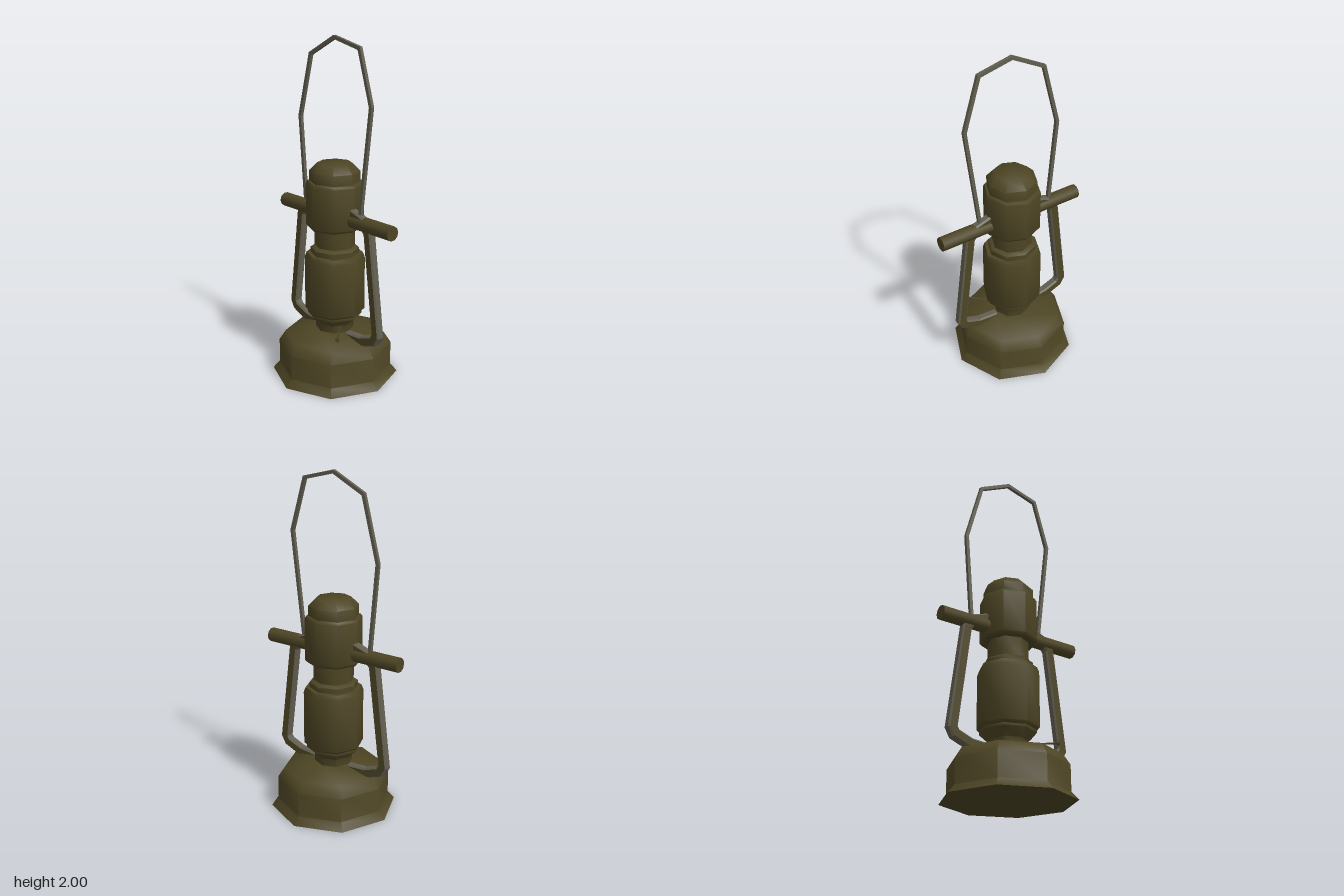
import * as THREE from 'three';
import { toCreasedNormals } from 'three/addons/utils/BufferGeometryUtils.js';

const AXIS = -0.01; // x of the lantern's centre line

export function createModel() {
  const model = new THREE.Group();
  const olive = new THREE.MeshStandardMaterial({ name: 'olive paint', color: 0x4d4524 });
  const steel = new THREE.MeshStandardMaterial({ name: 'bare steel', color: 0x625e50 });

  function add(name, geometry, material) {
    const mesh = new THREE.Mesh(geometry, material);
    mesh.name = name;
    model.add(mesh);
    return mesh;
  }

  // Eight-sided turned part from [radius, y] pairs, bottom to top
  function turned(name, profile) {
    const geo = new THREE.LatheGeometry(profile.map(([r, y]) => new THREE.Vector2(r, y)), 8);
    add(name, toCreasedNormals(geo, 0.88), olive).position.x = AXIS;
  }

  // Flat bar of constant width following a mitred polyline, centred on z = 0
  function strip(path, half, depth, bevel) {
    const pts = path.map(([x, y]) => new THREE.Vector2(x, y));
    const normal = (a, b) => new THREE.Vector2(a.y - b.y, b.x - a.x).normalize();
    const left = [], right = [];
    pts.forEach((p, i) => {
      const before = normal(pts[Math.max(i - 1, 0)], pts[Math.max(i, 1)]);
      const after = normal(pts[Math.min(i, pts.length - 2)], pts[Math.min(i + 1, pts.length - 1)]);
      const m = before.clone().add(after).normalize();
      m.multiplyScalar(half / m.dot(before));
      left.push(p.clone().add(m));
      right.unshift(p.clone().sub(m));
    });
    const geo = new THREE.ExtrudeGeometry(new THREE.Shape([...left, ...right]), {
      depth: depth - 2 * bevel, bevelEnabled: bevel > 0, bevelSegments: 1,
      bevelSize: bevel, bevelThickness: bevel, bevelOffset: -bevel,
    });
    return geo.translate(0, 0, bevel - depth / 2);
  }

  // Fuel tank with flared foot
  turned('fuelTank', [[0, 0], [0.375, 0], [0.335, 0.045], [0.335, 0.19], [0.295, 0.25], [0.12, 0.285], [0, 0.285]]);
  // Burner neck and its flared cup
  turned('burner', [[0, 0.27], [0.112, 0.27], [0.112, 0.33], [0.16, 0.375], [0.16, 0.39], [0, 0.39]]);
  // Globe
  turned('globe', [[0, 0.38], [0.15, 0.38], [0.176, 0.405], [0.176, 0.725], [0.165, 0.755], [0, 0.755]]);
  // Collar over the globe
  turned('collar', [[0, 0.75], [0.142, 0.75], [0.142, 0.785], [0.12, 0.8], [0, 0.8]]);
  // Chimney neck
  turned('chimneyNeck', [[0, 0.79], [0.118, 0.79], [0.118, 0.93], [0, 0.93]]);
  // Hood and domed cap
  turned('hood', [[0, 0.91], [0.155, 0.91], [0.167, 0.925], [0.167, 1.17], [0.158, 1.185], [0, 1.185]]);
  turned('cap', [[0, 1.18], [0.146, 1.18], [0.146, 1.245], [0.1, 1.29], [0, 1.293]]);

  // Cross bar through the hood
  const bar = new THREE.CylinderGeometry(0.042, 0.042, 0.925, 10);
  bar.rotateZ(Math.PI / 2).translate(-0.0025, 0.98, 0);
  add('crossBar', bar, olive);

  // Side frames: painted faces, bare edges
  const framePath = [[0.13, 1.03], [0.235, 0.995], [0.288, 0.94], [0.365, 0.345],
    [0.345, 0.31], [0.245, 0.272], [0.12, 0.262]];
  for (const side of [1, -1]) {
    const path = framePath.map(([x, y]) => [AXIS + side * x, y]);
    add(side > 0 ? 'leftFrame' : 'rightFrame', strip(path, 0.029, 0.05, 0.009), [olive, steel]);
  }

  // Bent wire carrying handle
  const wire = [[-0.262, 0.97], [-0.309, 1.52], [-0.211, 1.885], [-0.01, 1.989],
    [0.191, 1.943], [0.284, 1.64], [0.2, 0.97]];
  add('carryHandle', strip(wire, 0.01, 0.02, 0), steel);

  // Wick adjuster: a thin stem with a small disc
  const wick = new THREE.Group();
  wick.name = 'wickAdjuster';
  const stem = new THREE.Mesh(new THREE.CylinderGeometry(0.005, 0.005, 0.24, 6), olive);
  stem.name = 'wickStem';
  stem.position.y = 0.12;
  const knob = new THREE.Mesh(new THREE.CylinderGeometry(0.013, 0.013, 0.01, 8), olive);
  knob.name = 'wickKnob';
  knob.position.y = 0.24;
  wick.add(stem, knob);
  wick.position.set(0.035, 0.32, 0);
  wick.quaternion.setFromUnitVectors(new THREE.Vector3(0, 1, 0), new THREE.Vector3(1, 0, 1).normalize());
  model.add(wick);

  return model;
}
